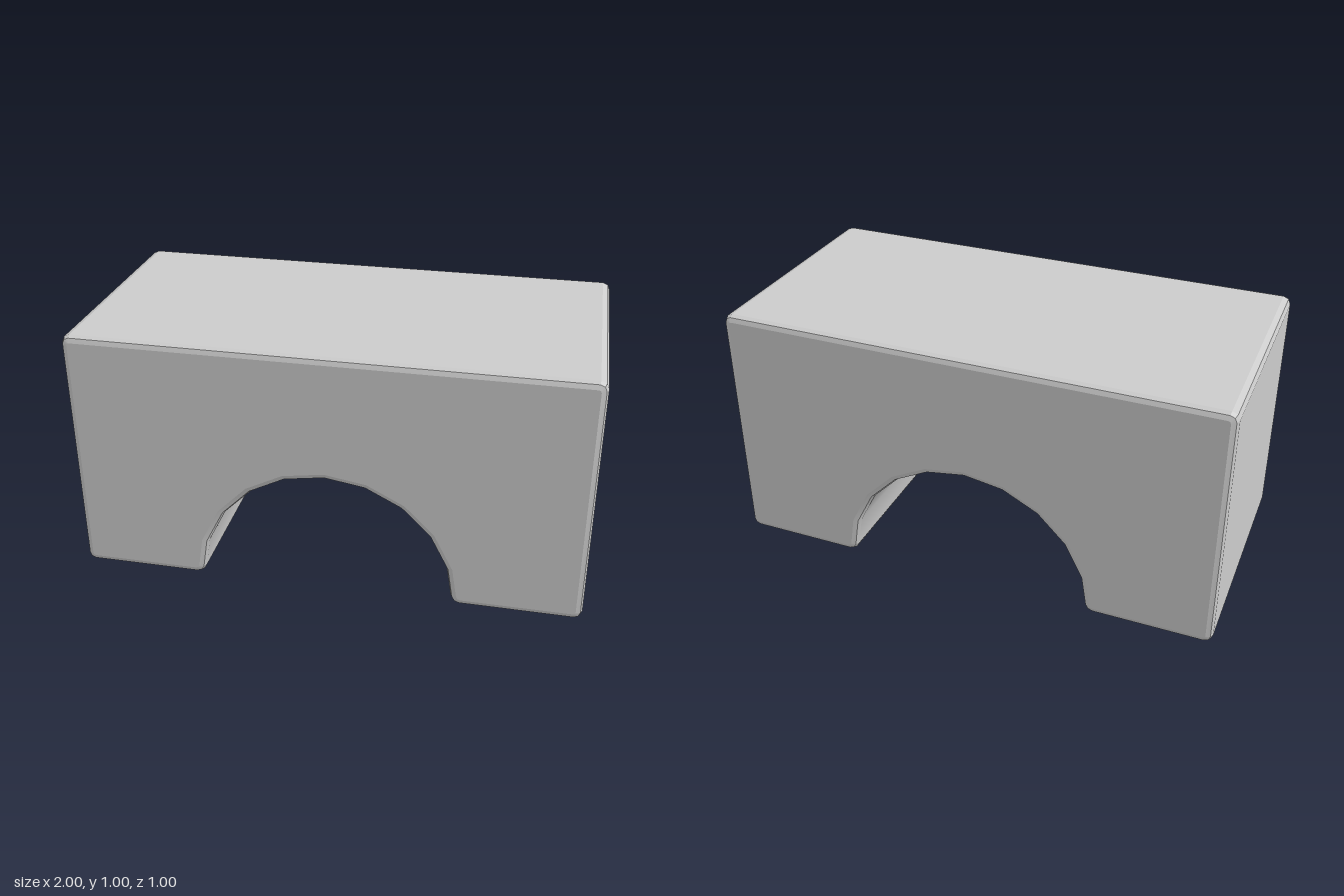
import * as THREE from 'three';
import { toCreasedNormals } from 'three/addons/utils/BufferGeometryUtils.js';

const BEVEL = 0.025, DEPTH = 1, ARCH_RADIUS = 0.5, ARCH_STEPS = 10;

// Replace a sharp corner with a small two-step round
function roundCorner(prev, corner, next, r) {
  const a = prev.clone().sub(corner).setLength(r);
  const b = next.clone().sub(corner).setLength(r);
  const mid = a.clone().add(b).multiplyScalar(0.293);
  return [a, mid, b].map((offset) => offset.add(corner));
}

export function createModel() {
  const model = new THREE.Group();
  model.name = 'archBlock';

  // Front outline, counter-clockwise: four block corners, then the faceted arch
  const outline = [[-0.5, 0], [-1, 0], [-1, 1], [1, 1], [1, 0], [0.5, 0]]
    .reverse()
    .map(([x, y]) => new THREE.Vector2(x, y));
  for (let i = ARCH_STEPS - 1; i > 0; i--) {
    const t = (i / ARCH_STEPS) * Math.PI;
    outline.push(new THREE.Vector2(Math.cos(t), Math.sin(t)).multiplyScalar(ARCH_RADIUS));
  }

  // Round the block corners and the feet of the arch, keep the arch vertices
  const n = outline.length;
  const points = outline.flatMap((p, i) =>
    i < 6 ? roundCorner(outline[(i + n - 1) % n], p, outline[(i + 1) % n], 0.03) : [p]);

  // Extrude through the depth with bevelled front and back rims
  const geometry = new THREE.ExtrudeGeometry(new THREE.Shape(points), {
    depth: DEPTH - 2 * BEVEL,
    bevelEnabled: true,
    bevelThickness: BEVEL,
    bevelSize: BEVEL,
    bevelOffset: -BEVEL,
    bevelSegments: 2,
  });
  geometry.translate(0, 0, -DEPTH / 2 + BEVEL);

  const block = new THREE.Mesh(
    toCreasedNormals(geometry, 0.33), // smooth arch soffit, crisp block faces
    new THREE.MeshStandardMaterial({ color: 0xcccccc }),
  );
  block.name = 'archedBlock';
  model.add(block);
  return model;
}
